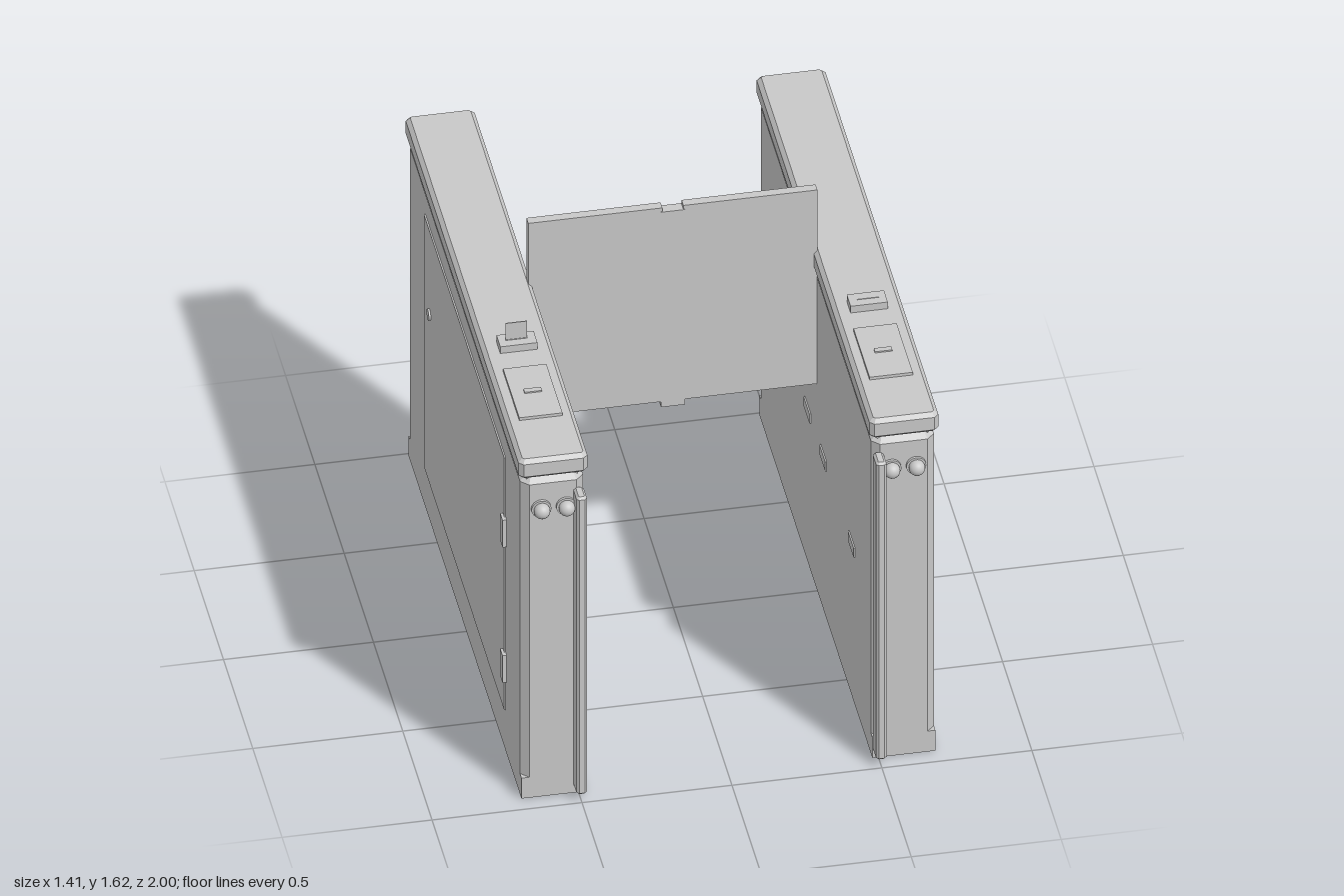
import * as THREE from 'three';

const steel = new THREE.MeshStandardMaterial({ color: 0xc8c8c8 });
steel.name = 'light grey steel';

function part(parent, name, geometry, x = 0, y = 0, z = 0) {
  const mesh = new THREE.Mesh(geometry, steel);
  mesh.name = name;
  mesh.position.set(x, y, z);
  parent.add(mesh);
  return mesh;
}

// Box given by its limits on each axis
function box(parent, name, [x0, x1], [y0, y1], [z0, z1]) {
  return part(parent, name, new THREE.BoxGeometry(x1 - x0, y1 - y0, z1 - z0),
    (x0 + x1) / 2, (y0 + y1) / 2, (z0 + z1) / 2);
}

// Upright prism with cut corners and bevelled top and bottom rims
function bevelled(parent, name, [x0, x1], [y0, y1], [z0, z1], cut, bevel) {
  const w = (x1 - x0) / 2, d = (z1 - z0) / 2;
  const outline = [[w, cut - d], [w, d - cut], [w - cut, d], [cut - w, d],
    [-w, d - cut], [-w, cut - d], [cut - w, -d], [w - cut, -d]];
  const shape = new THREE.Shape(outline.map(([a, b]) => new THREE.Vector2(a, b)));
  const geometry = new THREE.ExtrudeGeometry(shape, {
    depth: y1 - y0 - 2 * bevel, bevelEnabled: true, bevelSegments: 1,
    bevelSize: bevel, bevelThickness: bevel, bevelOffset: -bevel,
  });
  geometry.rotateX(-Math.PI / 2);
  return part(parent, name, geometry, (x0 + x1) / 2, y0 + bevel, (z0 + z1) / 2);
}

// One cabinet; side is +1 for the model's left, -1 for its right
function cabinet(side) {
  const g = new THREE.Group();
  g.name = side > 0 ? 'leftCabinet' : 'rightCabinet';
  const span = (a, b) => (side > 0 ? [a, b] : [-b, -a]);
  const outer = span(0.48, 0.69);

  // Plinth, body and lid
  box(g, 'plinth', outer, [0, 0.083], [-0.985, 0.94]);
  bevelled(g, 'body', outer, [0.05, 1.29], [-0.985, 0.94], 0.026, 0.02);
  box(g, 'neck', span(0.5, 0.67), [1.28, 1.31], [-0.96, 0.92]);
  bevelled(g, 'lid', span(0.47, 0.7), [1.3, 1.378], [-1, 0.953], 0.015, 0.014);

  // Service door on the outer side
  box(g, 'serviceDoor', span(0.685, 0.695), [0.165, 1.19], [-0.7, 0.67]);
  for (const y of [0.345, 0.895])
    box(g, 'hinge', span(0.685, 0.704), [y - 0.055, y + 0.055], [0.648, 0.688]);
  const lock = part(g, 'doorLock', new THREE.CylinderGeometry(0.02, 0.02, 0.016, 24),
    side * 0.694, 0.855, -0.6);
  lock.rotation.z = Math.PI / 2;

  // Passage sensors on the inner side
  for (const [y, z] of [[0.62, 0.595], [0.62, 0.11], [0.62, -0.16],
    [0.62, -0.64], [1.035, -0.64], [1.035, -0.22]])
    box(g, 'sensor', span(0.475, 0.49), [y - 0.019, y + 0.019], [z - 0.05, z + 0.05]);

  // Front guard strip and the pair of domes
  bevelled(g, 'frontGuard', span(0.482, 0.517), [0.03, 1.237], [0.93, 1], 0.008, 0.008);
  for (const x of [0.542, 0.625]) {
    const ring = part(g, 'domeRing', new THREE.CylinderGeometry(0.033, 0.033, 0.012, 32),
      side * x, 1.172, 0.943);
    ring.rotation.x = Math.PI / 2;
    part(g, 'dome', new THREE.SphereGeometry(0.027, 24, 16), side * x, 1.172, 0.958);
  }

  // Display and ticket reader on the lid
  box(g, 'display', span(0.512, 0.656), [1.37, 1.389], [0.452, 0.728]);
  box(g, 'displaySlot', span(0.555, 0.613), [1.385, 1.394], [0.58, 0.6]);
  box(g, 'ticketReader', span(0.522, 0.646), [1.37, 1.405], [0.287, 0.353]);
  box(g, 'readerSlot', span(0.55, 0.622), [1.4, 1.407], [0.316, 0.322]);
  return g;
}

export function createModel() {
  const model = new THREE.Group();
  model.name = 'turnstileGate';
  model.add(cabinet(1), cabinet(-1));

  // Ticket standing in the right reader
  box(model, 'ticket', [-0.622, -0.55], [1.39, 1.473], [0.3175, 0.3205]);

  // Barrier: two leaves with top rails, and the seal between them
  const depth = [-0.04, -0.009];
  for (const side of [1, -1]) {
    const reach = side > 0 ? [0.035, 0.482] : [-0.482, -0.035];
    box(model, 'barrierLeaf', reach, [0.835, 1.585], depth);
    box(model, 'barrierRail', reach, [1.585, 1.622], depth);
  }
  box(model, 'barrierSeal', [-0.04, 0.04], [0.815, 1.607], [-0.043, -0.006]);
  return model;
}
